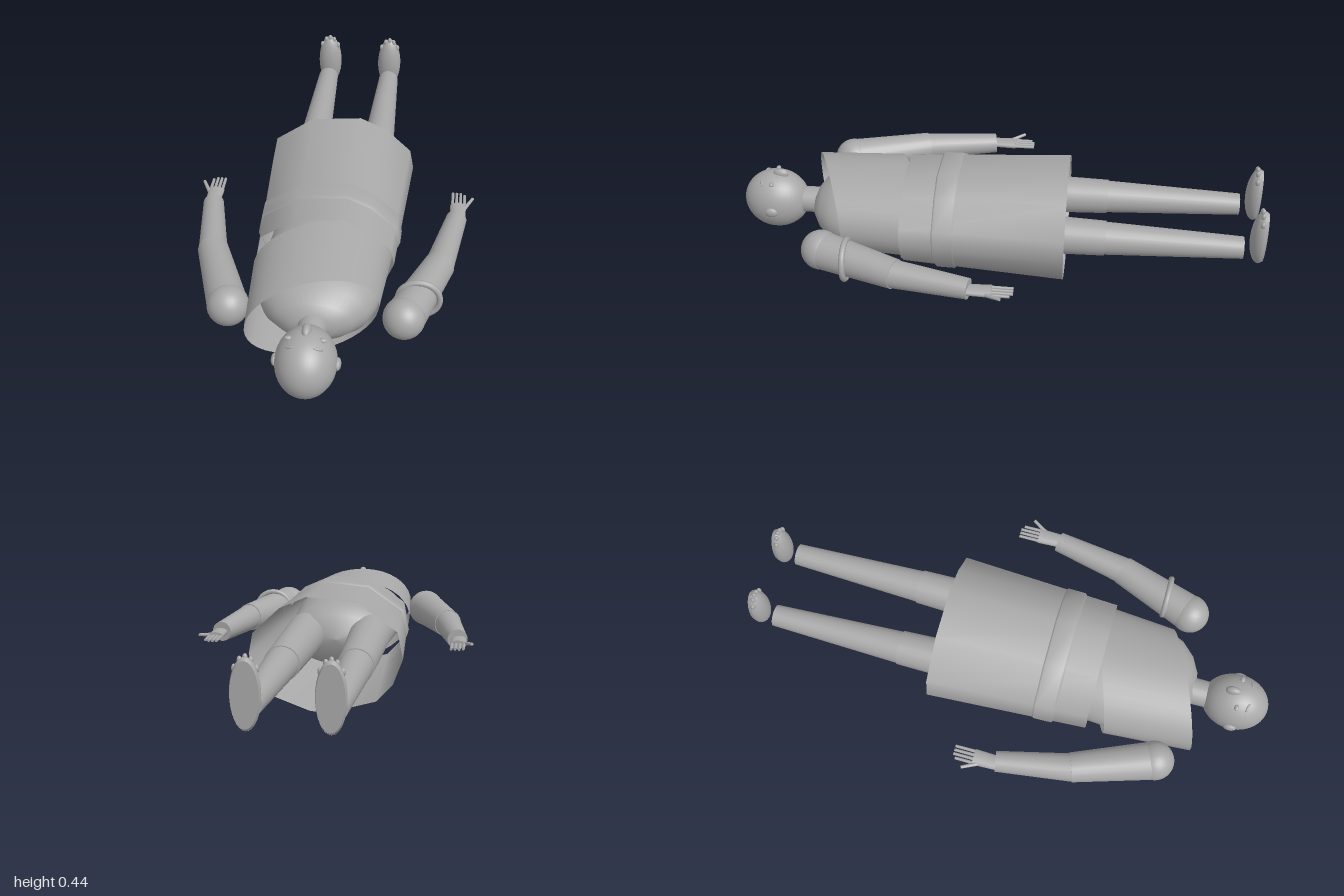
import * as THREE from 'three';

// A figure lying on its back: head towards +z, face up.
const AXIS = 0.224; // height of the body's long axis
const V = (x, y, z) => new THREE.Vector3(x, y, z);

export function createModel() {
  const model = new THREE.Group();
  const clay = new THREE.MeshStandardMaterial({ color: 0xa8a8a8, side: THREE.DoubleSide });
  clay.name = 'grey clay';

  const add = (name, geometry, x = 0, y = 0, z = 0, parent = model) => {
    const mesh = new THREE.Mesh(geometry, clay);
    mesh.name = name;
    mesh.position.set(x, y, z);
    parent.add(mesh);
    return mesh;
  };
  // ellipsoid with its poles along z
  const ball = (rx, ry, rz, seg = 28) =>
    new THREE.SphereGeometry(1, seg, Math.round(seg * 0.7)).rotateX(Math.PI / 2).scale(rx, ry, rz);
  // profile of [radius, z] turned about z
  const spin = (profile, sx = 1, sy = 1) =>
    new THREE.LatheGeometry(profile.map(([r, z]) => new THREE.Vector2(r, z)), 40)
      .rotateX(Math.PI / 2).scale(sx, sy, 1);
  // tapered round limb from a to b
  const limb = (name, a, b, ra, rb, parent, seg = 24) => {
    const dir = b.clone().sub(a);
    const mesh = add(name, new THREE.CylinderGeometry(rb, ra, dir.length(), seg), 0, 0, 0, parent);
    mesh.position.copy(a).addScaledVector(dir, 0.5);
    mesh.quaternion.setFromUnitVectors(V(0, 1, 0), dir.normalize());
    return mesh;
  };
  // open wall joining closed rings that have equal point counts
  const wall = (rings) => {
    const n = rings[0].length, pos = [], index = [];
    rings.forEach(ring => ring.forEach(p => pos.push(...p)));
    for (let r = 0; r < rings.length - 1; r++) {
      for (let i = 0; i < n; i++) {
        const a = r * n + i, b = r * n + (i + 1) % n;
        index.push(a, b, a + n, b, b + n, a + n);
      }
    }
    const g = new THREE.BufferGeometry();
    g.setAttribute('position', new THREE.Float32BufferAttribute(pos, 3));
    g.setIndex(index);
    g.computeVertexNormals();
    return g;
  };

  // Head and face
  const head = new THREE.Group();
  head.name = 'head';
  head.position.set(0, AXIS, 0.873);
  model.add(head);
  add('skull', ball(0.104, 0.118, 0.125, 36), 0, 0, 0, head);
  add('nose', ball(0.016, 0.022, 0.03, 16), 0, 0.114, -0.025, head);
  for (const s of [-1, 1]) {
    add('ear', ball(0.012, 0.02, 0.025, 16), s * 0.104, 0, 0, head);
    add('eye', ball(0.014, 0.008, 0.009, 14), s * 0.056, 0.1, 0, head);
    add('eyebrow', ball(0.018, 0.006, 0.005, 12), s * 0.046, 0.098, 0.04, head).rotation.set(0, s * 0.25, -s * 0.35);
  }
  limb('neck', V(0, AXIS, 0.64), V(0, AXIS, 0.78), 0.052, 0.05);

  // Torso, a flattened turned form
  add('torso', spin([[0, 0], [0.7, 0.02], [0.9, 0.1], [0.94, 0.25], [1, 0.42], [0.99, 0.5],
    [0.94, 0.57], [0.82, 0.63], [0.6, 0.68], [0.34, 0.71], [0, 0.72]], 0.222, 0.137), 0, 0.22, 0);

  // Slanted sash from one shoulder to the opposite hip
  const sashRing = (cx, rx, ry, z0, slope) => Array.from({ length: 40 }, (_, i) => {
    const t = i / 40 * Math.PI * 2, x = cx + rx * Math.cos(t);
    return [x, 0.225 + ry * Math.sin(t), z0 + slope * x];
  });
  add('sash', wall([sashRing(-0.002, 0.248, 0.166, 0.333, -0.35), sashRing(-0.006, 0.222, 0.158, 0.662, -0.39)]));

  // Skirt, an open wrap with an uneven hem
  const hem = [[0.285, 0.22], [0.27, 0.3], [0.17, 0.395], [0.07, 0.44], [-0.12, 0.422], [-0.265, 0.32],
    [-0.285, 0.22], [-0.25, 0.125], [-0.19, 0.058], [0, 0.004], [0.06, 0.012], [0.19, 0.06], [0.25, 0.125]];
  const skirtRing = (sx, sy, z) => hem.map(([x, y]) => [x * sx, 0.222 + (y - 0.222) * sy, z]);
  add('skirt', wall([skirtRing(1, 1, -0.265), skirtRing(0.88, 0.85, 0.35)]));

  // Belt around the skirt
  add('belt', wall([[0.92, 0.9, 0.145], [0.935, 0.935, 0.152], [0.93, 0.93, 0.22], [0.9, 0.88, 0.228]]
    .map(r => skirtRing(...r))));

  for (const s of [-1, 1]) {
    // Leg and upright foot
    const leg = new THREE.Group();
    leg.name = s > 0 ? 'leftLeg' : 'rightLeg';
    model.add(leg);
    limb('thigh', V(s * 0.125, 0.228, 0.08), V(s * 0.132, 0.228, -0.415), 0.08, 0.066, leg);
    limb('shin', V(s * 0.132, 0.228, -0.4), V(s * 0.135, 0.228, -0.925), 0.063, 0.042, leg);
    const sole = new THREE.CylinderGeometry(1, 0.92, 0.015, 32).rotateX(Math.PI / 2).scale(0.05, 0.118, 1);
    add('sole', sole, s * 0.133, 0.28, -0.9925, leg);
    const instep = new THREE.SphereGeometry(1, 32, 10, 0, Math.PI * 2, 0, Math.PI / 2)
      .rotateX(Math.PI / 2).scale(0.05, 0.118, 0.042);
    add('instep', instep, s * 0.133, 0.28, -0.986, leg);
    for (let i = 0; i < 5; i++) {
      const u = (i - 2) / 2;
      add('toe', ball(0.0085, 0.014, 0.009, 12), s * 0.133 + u * 0.035, 0.394 - 0.034 * u * u, -0.978, leg);
    }

    // Arm
    const arm = new THREE.Group();
    arm.name = s > 0 ? 'leftArm' : 'rightArm';
    model.add(arm);
    add('shoulder', ball(0.074, 0.075, 0.074), s * 0.305, AXIS, 0.63, arm);
    limb('upperArm', V(s * 0.313, AXIS, 0.61), V(s * 0.415, AXIS, 0.335), 0.071, 0.056, arm);
    limb('forearm', V(s * 0.413, AXIS, 0.345), V(s * 0.467, AXIS, 0.06), 0.053, 0.039, arm);

    // Hand: flat palm, four fingers and an outer thumb
    add('palm', new THREE.CylinderGeometry(0.028, 0.031, 0.09, 18).rotateX(Math.PI / 2).scale(1, 0.5, 1),
      s * 0.472, AXIS, 0.022, arm);
    for (let i = 0; i < 4; i++) {
      const x = 0.45 + i * 0.015;
      limb('finger', V(s * x, AXIS, 0), V(s * x, AXIS, i === 3 ? -0.09 : -0.1), 0.0065, 0.0055, arm, 10);
    }
    limb('thumb', V(s * 0.493, AXIS, 0), V(s * 0.526, AXIS + 0.012, -0.058), 0.008, 0.006, arm, 10);
  }

  // Armband on the left arm
  add('armband', new THREE.TorusGeometry(0.073, 0.011, 14, 40), 0.35, AXIS, 0.528);

  return model;
}
